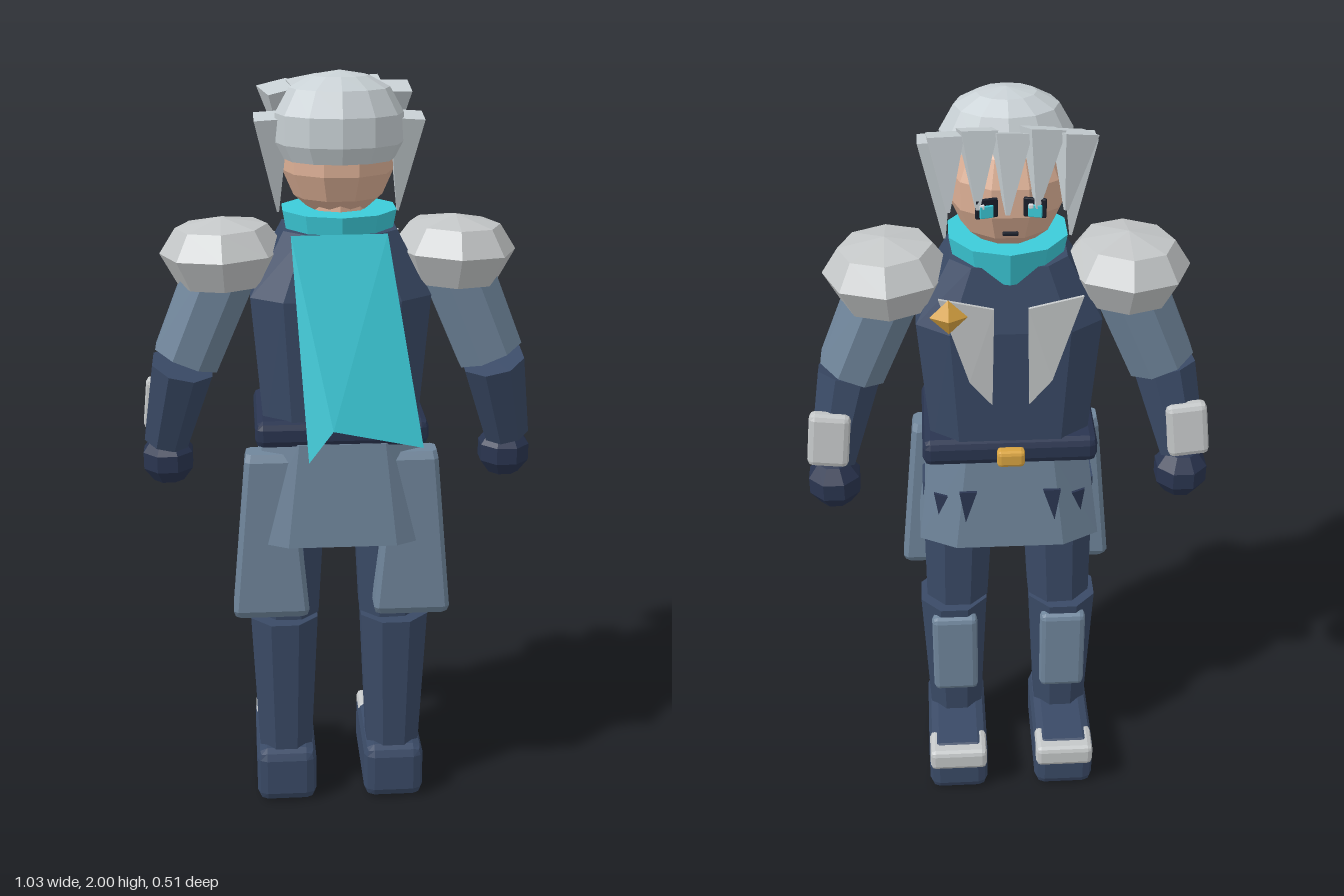
import * as THREE from 'three';
import { RoundedBoxGeometry } from 'three/addons/geometries/RoundedBoxGeometry.js';
import { ConvexGeometry } from 'three/addons/geometries/ConvexGeometry.js';

const V = (x, y, z) => new THREE.Vector3(x, y, z);
const mat = (name, color, side = THREE.FrontSide) =>
  new THREE.MeshStandardMaterial({ name, color, side, flatShading: true });

export function createModel() {
  const model = new THREE.Group();
  model.name = 'armouredFigure';
  const navy = mat('navy cloth', 0x3a4a66);
  const dark = mat('dark navy leather', 0x2a3550);
  const steel = mat('steel blue cloth', 0x70869c);
  const silver = mat('silver armour', 0xc4c7c8);
  const hair = mat('pale hair', 0xc8d0d4);
  const cyan = mat('cyan scarf', 0x3ccbd9, THREE.DoubleSide);
  const skin = mat('skin', 0xddb096);
  const gold = mat('gold', 0xd9a441);
  const black = mat('black', 0x1a1f2b);
  const white = mat('white', 0xf2f5f7);

  const add = (name, geometry, material, x = 0, y = 0, z = 0) => {
    const mesh = new THREE.Mesh(geometry, material);
    mesh.name = name;
    mesh.position.set(x, y, z);
    model.add(mesh);
    return mesh;
  };
  // Box with chamfered edges
  const box = (name, material, w, h, d, x, y, z, r = 0.015) =>
    add(name, new RoundedBoxGeometry(w, h, d, 1, r), material, x, y, z);
  // Tapered prism running from point a (radius ra) to point b (radius rb)
  const limb = (name, material, a, b, ra, rb, sides = 8) => {
    const dir = b.clone().sub(a);
    const g = new THREE.CylinderGeometry(rb, ra, dir.length(), sides);
    g.rotateY(Math.PI / sides);
    const m = add(name, g, material);
    m.position.copy(a).add(b).multiplyScalar(0.5);
    m.quaternion.setFromUnitVectors(V(0, 1, 0), dir.normalize());
    return m;
  };
  // Convex solid through bevelled rectangles [y, halfX, halfZ, bevelX, bevelZ]
  const hullRings = (name, material, rings, cx = 0, cz = 0) => {
    const pts = [];
    for (const [y, hx, hz, bx, bz] of rings)
      for (const sx of [-1, 1]) for (const sz of [-1, 1])
        pts.push(V(cx + sx * hx, y, cz + sz * (hz - bz)), V(cx + sx * (hx - bx), y, cz + sz * hz));
    return add(name, new ConvexGeometry(pts), material);
  };
  // Thin plate through corner points, thickened along z
  const plate = (name, material, corners, t = 0.004) =>
    add(name, new ConvexGeometry(corners.flatMap(([x, y, z]) => [V(x, y, z - t), V(x, y, z + t)])), material);
  const lathe = (pts, n) => new THREE.LatheGeometry(pts.map(p => new THREE.Vector2(...p)), n);

  // Torso, skirt and belt
  hullRings('torso', navy, [[1.1, 0.195, 0.14, 0.07, 0.05], [1.46, 0.225, 0.155, 0.08, 0.06],
    [1.62, 0.14, 0.12, 0.05, 0.05]], 0, -0.01);
  hullRings('skirt', steel, [[0.815, 0.235, 0.16, 0.095, 0.05], [1.09, 0.2, 0.14, 0.09, 0.05]], 0, 0.003);
  box('belt', dark, 0.44, 0.07, 0.31, 0, 1.115, -0.01, 0.02);
  box('beltBuckle', gold, 0.07, 0.045, 0.035, 0, 1.12, -0.185, 0.01);
  const brooch = add('brooch', new THREE.OctahedronGeometry(0.045), gold, 0.147, 1.53, -0.2);
  brooch.scale.z = 0.6;

  // Scarf collar and hanging tail
  const collar = new THREE.CylinderGeometry(0.148, 0.132, 0.085, 10);
  add('scarfCollar', collar, cyan, 0, 1.622, -0.012);
  const tail = new THREE.BufferGeometry();
  tail.setAttribute('position', new THREE.Float32BufferAttribute([
    -0.125, 1.625, 0.14, 0.11, 1.625, 0.13, 0.195, 1.11, 0.235, -0.03, 1.165, 0.257, -0.09, 1.08, 0.247], 3));
  tail.setIndex([0, 4, 3, 0, 3, 1, 1, 3, 2]);
  tail.computeVertexNormals();
  add('scarfTail', tail, cyan);

  for (const s of [-1, 1]) {
    // Chest lapels
    plate('lapel', silver, [[s * 0.04, 1.54, -0.185], [s * 0.17, 1.57, -0.185],
      [s * 0.1, 1.34, -0.18], [s * 0.045, 1.27, -0.175]]);
    // Rear coat panels
    hullRings('coatPanel', steel, [[0.6, 0.095, 0.03, 0.015, 0.01], [0.62, 0.1, 0.04, 0.012, 0.01],
      [1.04, 0.062, 0.04, 0.012, 0.01], [1.06, 0.058, 0.03, 0.012, 0.01]], s * 0.19, 0.095).position.x = s * -0.004;
    // Dark tears on the skirt
    plate('skirtTear', dark, [[s * 0.085, 0.99, -0.15], [s * 0.13, 0.99, -0.15], [s * 0.115, 0.9, -0.156]]);
    plate('skirtTear', dark, [[s * 0.16, 0.97, -0.138], [s * 0.195, 0.97, -0.121], [s * 0.185, 0.91, -0.131]]);

    // Legs
    limb('thigh', navy, V(s * 0.14, 0.565, -0.01), V(s * 0.13, 0.95, -0.005), 0.09, 0.102);
    limb('shin', navy, V(s * 0.15, 0.14, -0.005), V(s * 0.15, 0.55, -0.008), 0.078, 0.098);
    box('shinGuard', steel, 0.125, 0.26, 0.045, s * 0.15, 0.395, -0.09);
    box('boot', navy, 0.165, 0.16, 0.335, s * 0.15, 0.08, -0.077, 0.028);
    box('toeCap', silver, 0.16, 0.065, 0.1, s * 0.15, 0.125, -0.208, 0.014);

    // Arms
    const pauldron = add('pauldron', lathe([[0, -0.085], [0.118, -0.08], [0.158, 0], [0.115, 0.062], [0, 0.085]], 8),
      silver, s * 0.29, 1.56, -0.005);
    pauldron.rotation.z = s * -0.04;
    limb('upperArm', steel, V(s * 0.39, 1.285, 0), V(s * 0.28, 1.55, 0), 0.09, 0.095);
    limb('forearm', navy, V(s * 0.452, 1.045, -0.055), V(s * 0.4, 1.265, 0), 0.062, 0.084);
    const bracer = box('bracer', silver, 0.105, 0.145, 0.045, s * 0.455, 1.13, -0.095);
    bracer.rotation.set(0.1, 0, s * 0.1);
    const hand = add('hand', new THREE.SphereGeometry(0.073, 8, 5), dark, s * 0.45, 0.988, -0.07);
    hand.rotation.y = Math.PI / 8;

    // Side locks of hair
    limb('sideLock', hair, V(s * 0.15, 1.65, -0.03), V(s * 0.165, 1.89, 0), 0.004, 0.06, 4);

    // Eyes: dark rim, coloured iris, highlight
    box('eyeRim', black, 0.052, 0.046, 0.009, s * 0.055, 1.785, -0.16, 0.002).rotation.y = s * 0.25;
    box('iris', cyan, 0.032, 0.03, 0.009, s * 0.055, 1.779, -0.165, 0.002).rotation.y = s * 0.25;
    box('eyeGlint', white, 0.011, 0.011, 0.008, s * 0.055 + 0.01, 1.792, -0.168, 0.002);
  }

  // Head
  const head = add('head', new THREE.SphereGeometry(1, 10, 7), skin, 0, 1.79, -0.025);
  head.scale.set(0.142, 0.155, 0.137);
  add('neck', new THREE.CylinderGeometry(0.07, 0.08, 0.14, 8), skin, 0, 1.63, -0.01);
  box('mouth', black, 0.036, 0.009, 0.009, 0, 1.715, -0.148, 0.002);

  // Hair cap and fringe
  const cap = add('hairCap', lathe([[0, 1.785], [0.135, 1.79], [0.156, 1.83], [0.156, 1.9],
    [0.122, 1.96], [0.07, 1.988], [0, 2]], 12), hair, 0, 0, 0.025);
  cap.scale.z = 0.78;
  [-0.145, -0.073, 0, 0.073, 0.145].forEach((x, i) => {
    const lift = i % 2 ? 0.01 : 0;
    limb('fringeLock', hair, V(x * 0.92 + 0.008, 1.775 + lift, -0.178 + Math.abs(x) * 0.15),
      V(x, 1.945 + lift, -0.115), 0.006, 0.058, 4).rotateY(0.2 - x);
  });
  return model;
}
